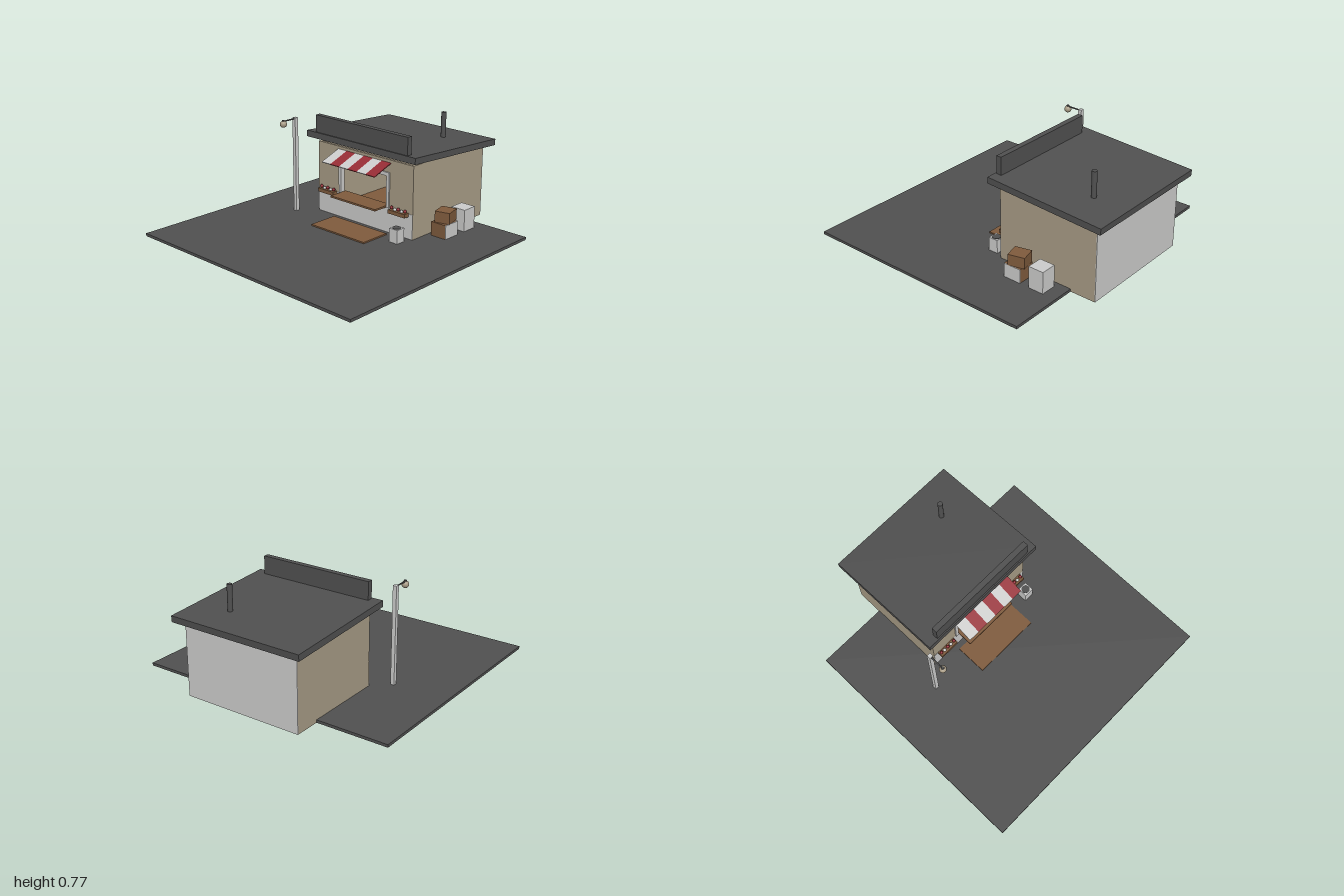
import * as THREE from 'three';

const mat = (name, color) => {
  const m = new THREE.MeshStandardMaterial({ color });
  m.name = name;
  return m;
};

export function createModel() {
  const model = new THREE.Group();
  const dark = mat('dark grey', 0x505050);
  const tan = mat('tan', 0xa89c86);
  const white = mat('off white', 0xcccccb);
  const brown = mat('brown wood', 0x7f5b3d);
  const red = mat('red', 0x962c35);

  const add = (name, geo, m, x = 0, y = 0, z = 0) => {
    const mesh = new THREE.Mesh(geo, m);
    mesh.name = name;
    mesh.position.set(x, y, z);
    model.add(mesh);
    return mesh;
  };
  // box given by its minimum and maximum on each axis
  const box = (name, m, x0, x1, y0, y1, z0, z1) =>
    add(name, new THREE.BoxGeometry(x1 - x0, y1 - y0, z1 - z0), m,
      (x0 + x1) / 2, (y0 + y1) / 2, (z0 + z1) / 2);

  // paved ground
  box('pavement', dark, -1, 0.745, 0, 0.02, -0.97, 0.97);

  // walls, with a serving opening on the -x side
  const top = 0.545, w = 0.445, t = 0.02;
  for (const s of [-1, 1]) {
    const [a, b] = s < 0 ? [-w, -w + t] : [w - t, w];
    box('sideWall', tan, 0.165, 0.93, 0, top, a, b);
    const [c, d] = s < 0 ? [-w + t, -0.22] : [0.22, w - t];
    box('shopFrontPier', tan, 0.165, 0.185, 0.2, top, c, d);
  }
  box('rearWallInside', tan, 0.91, 0.93, 0, top, -w + t, w - t);
  box('rearWallFace', white, 0.93, 0.935, 0, top, -w, w);
  box('shopFrontLintel', tan, 0.165, 0.185, 0.44, top, -0.22, 0.22);
  box('shopFrontBase', tan, 0.168, 0.185, 0, 0.2, -w + t, w - t);
  box('shopFrontBasePanel', white, 0.163, 0.168, 0, 0.2, -w, w);
  box('floor', brown, 0.185, 0.91, 0.004, 0.025, -w + t, w - t);
  box('ceiling', tan, 0.185, 0.91, 0.515, 0.525, -w + t, w - t);

  // window frame
  for (const s of [-1, 1])
    box('windowFrameSide', white, 0.155, 0.19, 0.2, 0.455, s * 0.225 - 0.012, s * 0.225 + 0.012);
  box('windowFrameTop', white, 0.155, 0.19, 0.43, 0.455, -0.213, 0.213);

  // sloping roof, sign board and chimney
  const slope = Math.atan2(-0.052, 0.89);
  const roof = add('roof', new THREE.BoxGeometry(0.89, 0.045, 1.01), dark, 0.553, 0.576, -0.002);
  roof.rotation.z = slope;
  box('signBoard', dark, 0.12, 0.16, 0.6, 0.75, -0.427, 0.427);
  add('chimney', new THREE.CylinderGeometry(0.018, 0.018, 0.19, 20), dark, 0.745, 0.675, 0.23);

  // striped awning
  const stripe = 0.495 / 6;
  const awningLength = Math.hypot(0.165, 0.06);
  for (let i = 0; i < 6; i++) {
    const m = add('awningStripe', new THREE.BoxGeometry(awningLength, 0.006, stripe),
      i % 2 ? red : white, 0.0825, 0.493, -0.25 + stripe * (i + 0.5));
    m.rotation.z = Math.atan2(0.06, 0.165);
  }

  // counter and step
  box('counter', brown, 0.045, 0.2, 0.2, 0.213, -0.21, 0.21);
  box('step', brown, -0.11, 0.12, 0.02, 0.03, -0.25, 0.25);

  // flower boxes
  for (const s of [-1, 1]) {
    box('flowerBox', brown, 0.12, 0.163, 0.18, 0.207, s * 0.335 - 0.075, s * 0.335 + 0.075);
    for (let i = 0; i < 5; i++)
      add('flower', new THREE.SphereGeometry(0.012, 10, 8), i % 2 ? white : red,
        0.142, i % 2 ? 0.211 : 0.22, s * 0.335 + (i - 2) * 0.03);
  }

  // street lamp
  box('lampPost', white, 0.031, 0.059, 0.02, 0.72, -0.575, -0.547);
  const arm = add('lampArm', new THREE.CylinderGeometry(0.005, 0.005, 0.115, 10), dark, -0.013, 0.712, -0.561);
  arm.rotation.z = Math.PI / 2;
  add('lampGlobe', new THREE.SphereGeometry(0.025, 20, 14), tan, -0.07, 0.692, -0.561);
  add('lampCap', new THREE.CylinderGeometry(0.009, 0.012, 0.012, 12), dark, -0.07, 0.715, -0.561);

  // litter bin
  box('litterBin', white, 0.038, 0.11, 0.02, 0.118, 0.347, 0.419);
  add('litterBinMouth', new THREE.CylinderGeometry(0.03, 0.03, 0.004, 20), dark, 0.074, 0.119, 0.383);

  // stacked crates
  box('lowerCrate', brown, 0.327, 0.46, 0.02, 0.12, 0.475, 0.597);
  box('lowerCrateFront', white, 0.327, 0.46, 0.02, 0.12, 0.597, 0.602);
  const crate = add('upperCrate', new THREE.BoxGeometry(0.12, 0.08, 0.11), brown, 0.406, 0.16, 0.537);
  crate.rotation.y = 0.25;

  // storage cabinet
  box('cabinet', white, 0.532, 0.647, 0.02, 0.178, 0.488, 0.603);

  return model;
}
